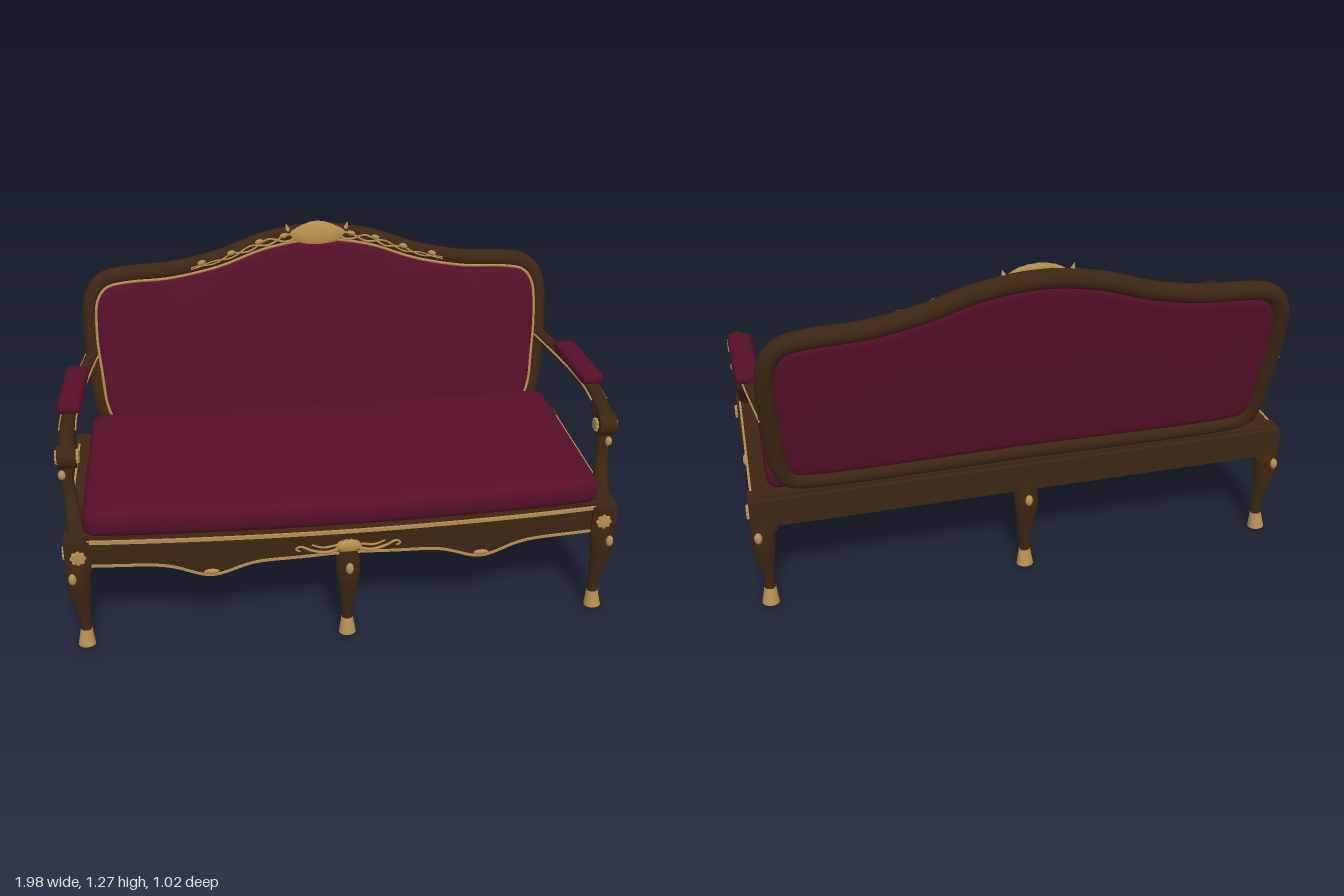
import * as THREE from 'three';
import { mergeVertices, toCreasedNormals } from 'three/addons/utils/BufferGeometryUtils.js';

const V = (x, y, z) => new THREE.Vector3(x, y, z);
const gauss = t => Math.exp(-t * t);

export function createModel() {
  const model = new THREE.Group();
  model.name = 'settee';
  const paint = (name, color) => {
    const m = new THREE.MeshStandardMaterial({ color });
    m.name = name;
    return m;
  };
  const wood = paint('dark wood', 0x3b2611);
  const fabric = paint('burgundy fabric', 0x560f28);
  const gold = paint('gilt', 0xb58d4e);

  const add = (name, geometry, material, x = 0, y = 0, z = 0) => {
    const mesh = new THREE.Mesh(geometry, material);
    mesh.name = name;
    mesh.position.set(x, y, z);
    model.add(mesh);
    return mesh;
  };

  // Move every vertex by a rule
  const bend = (g, rule) => {
    const p = g.attributes.position, v = V(0, 0, 0);
    for (let i = 0; i < p.count; i++) {
      rule(v.fromBufferAttribute(p, i), i);
      p.setXYZ(i, v.x, v.y, v.z);
    }
    g.computeVertexNormals();
    return g;
  };

  // Round sweep through [x, y, z, radius] points
  const sweep = (pts, seg = 28, sides = 14) => {
    const curve = new THREE.CatmullRomCurve3(pts.map(p => V(p[0], p[1], p[2])));
    const radii = new THREE.CatmullRomCurve3(pts.map(p => V(p[3], 0, 0)), false, 'catmullrom', 0.5);
    const g = new THREE.TubeGeometry(curve, seg, 1, sides);
    const normals = g.attributes.normal.clone();
    bend(g, (v, i) => {
      const u = Math.floor(i / (sides + 1)) / seg, t = curve.getUtoTmapping(u);
      const n = V(0, 0, 0).fromBufferAttribute(normals, i);
      v.copy(curve.getPoint(t)).addScaledVector(n, radii.getPoint(t).x);
    });
    g.setAttribute('normal', normals);
    return g;
  };

  // Box with rounded edges, a crowned top and a bowed front
  const softBox = (w, h, d, r, seg, crown = 0, bow = 0) => {
    let g = new THREE.BoxGeometry(w, h, d, ...seg);
    g.deleteAttribute('uv');
    g.deleteAttribute('normal');
    g = mergeVertices(g);
    const half = V(w / 2 - r, h / 2 - r, d / 2 - r), core = V(0, 0, 0);
    return bend(g, v => {
      core.copy(v).clamp(half.clone().negate(), half);
      v.sub(core).setLength(r).add(core);
      const a = 1 - (2 * v.x / w) ** 2, b = 1 - (2 * v.z / d) ** 2;
      if (v.y > 0) v.y += crown * a * b;
      if (v.z > 0) v.z += bow * a * (2 * v.z / d);
    });
  };

  // Rail with shaped lower and upper edges, bowed outward
  const rail = (length, depth, bottom, top, face) => bend(
    new THREE.BoxGeometry(length, 1, depth, 72, 1, 1), v => {
      v.y = v.y < 0 ? bottom(v.x) : top(v.x);
      v.z += face(v.x) - depth / 2;
    });

  // Carved ornaments
  const rosette = r => {
    const pts = Array.from({ length: 64 }, (_, i) => {
      const a = i / 64 * Math.PI * 2, q = r * (0.86 + 0.14 * Math.cos(8 * a));
      return new THREE.Vector2(q * Math.cos(a), q * Math.sin(a));
    });
    return new THREE.ExtrudeGeometry(new THREE.Shape(pts), { depth: 0.006, bevelSize: 0.004, bevelThickness: 0.004, bevelSegments: 2 });
  };
  const shell = (w, h, d, teeth, cut, topOnly = false) => bend(new THREE.SphereGeometry(1, 96, 12), v => {
    const k = topOnly && v.y < 0 ? 1 : 1 + cut * Math.cos(teeth * Math.atan2(v.y, v.x));
    v.set(v.x * w * k, v.y * h * k, v.z * d);
  });
  const leaf = (name, x, y, z, w = 0.014, h = 0.022, d = 0.012) =>
    add(name, new THREE.SphereGeometry(1, 10, 8).scale(w, h, d), gold, x, y, z);

  // Seat cushion, board and rails
  add('seatCushion', softBox(1.82, 0.108, 0.755, 0.042, [80, 10, 40], 0.018, 0.04), fabric, 0, 0.512, 0.057);
  add('seatBoard', new THREE.BoxGeometry(1.86, 0.025, 0.76), wood, 0, 0.447, 0.04);
  add('backRail', new THREE.BoxGeometry(1.8, 0.105, 0.045), wood, 0, 0.3975, -0.335);
  const frontBottom = x => 0.347 - 0.052 * gauss((Math.abs(x) - 0.48) / 0.11) + 0.01 * gauss(x / 0.15);
  const sideBottom = z => 0.345 - 0.032 * gauss(z / 0.15);
  const frontFace = x => 0.425 + 0.042 * (1 - (x / 0.92) ** 2);
  const rails = (name, length, bottom, face) => [
    add(name, rail(length, 0.05, bottom, () => 0.45, face), wood),
    add(name + 'TopTrim', rail(length, 0.008, () => 0.439, () => 0.452, x => face(x) + 0.005), gold),
    add(name + 'LowerTrim', rail(length, 0.008, x => bottom(x) - 0.002, x => bottom(x) + 0.008, x => face(x) + 0.004), gold),
  ];
  rails('frontRail', 1.8, frontBottom, frontFace);
  for (const s of [1, -1]) {
    for (const m of rails(s > 0 ? 'leftRail' : 'rightRail', 0.64, sideBottom, () => 0.965)) {
      m.rotation.y = s * Math.PI / 2;
      m.position.z = 0.04;
    }
  }

  // Front centre shell with scrolls
  add('frontShell', shell(0.045, 0.026, 0.016, 14, 0.08), gold, 0, 0.388, 0.472);
  for (const s of [1, -1]) {
    add('frontScroll', sweep([[0.03, 0.38, 0.473, 0.006], [0.08, 0.368, 0.472, 0.005], [0.13, 0.378, 0.47, 0.005],
      [0.17, 0.395, 0.468, 0.004], [0.185, 0.383, 0.467, 0.004], [0.17, 0.376, 0.468, 0.003]]
      .map(p => [p[0] * s, ...p.slice(1)]), 30, 6), gold);
    add('frontScrollUpper', sweep([[0.04, 0.395, 0.473, 0.004], [0.09, 0.388, 0.472, 0.004], [0.13, 0.4, 0.47, 0.003]]
      .map(p => [p[0] * s, ...p.slice(1)]), 16, 6), gold);
    leaf('frontDropLeaf', s * 0.48, 0.312, frontFace(0.48) + 0.002, 0.028, 0.01, 0.008);
  }

  // Cabriole legs with gilt hooves; (dx, dz) points outward
  const leg = (name, x, z, dx, dz, knee) => {
    const at = (y, o, r) => [x + dx * o, y, z + dz * o, r];
    add(name, sweep([at(0.39, 0, 0.04), at(0.33, 0.012, 0.043), at(0.28, knee, 0.043), at(0.21, knee * 0.75, 0.034),
      at(0.14, 0.008, 0.023), at(0.09, 0.004, 0.019), at(0.04, 0.008, 0.021)]), wood);
    const hoof = add(name + 'Hoof', new THREE.CylinderGeometry(0.021, 0.031, 0.062, 18), gold, x + dx * 0.009, 0.034, z + dz * 0.009);
    hoof.rotation.set(-dz * 0.12, 0, dx * 0.12);
    const k = 0.04 / Math.hypot(dx, dz);
    leaf(name + 'KneeLeaf', x + dx * (knee + k), 0.315, z + dz * (knee + k));
  };
  leg('frontCentreLeg', 0, 0.44, 0, 1, 0.026);
  leg('backCentreLeg', 0, -0.32, 0, -1, 0.022);

  // Corner posts, legs and arms
  for (const s of [1, -1]) {
    const side = s > 0 ? 'left' : 'right';
    const flip = pts => pts.map(p => [p[0] * s, p[1], p[2], p[3]]);
    for (const [end, z, dz] of [['Front', 0.393, 1], ['Back', -0.315, -1]]) {
      add(side + end + 'Block', new THREE.BoxGeometry(0.088, 0.122, 0.088), wood, s * 0.935, 0.39, z);
      leg(side + end + 'Leg', s * 0.935, z, s * 0.4, dz, 0.022);
      add(side + end + 'SideRosette', rosette(0.022), gold, s * 0.979, 0.39, z).rotation.y = s * Math.PI / 2;
    }
    add(side + 'FrontRosette', rosette(0.024), gold, s * 0.933, 0.392, 0.437);
    add(side + 'RailShell', shell(0.032, 0.018, 0.013, 12, 0.1), gold, s * 0.967, 0.38, 0.04).rotation.y = Math.PI / 2;

    const arm = [[0.885, 0.785, -0.41, 0.024], [0.915, 0.783, -0.2, 0.024], [0.938, 0.783, 0, 0.025], [0.945, 0.782, 0.14, 0.026],
      [0.945, 0.773, 0.23, 0.027], [0.945, 0.752, 0.3, 0.027], [0.945, 0.72, 0.32, 0.02]];
    add(side + 'Arm', sweep(flip(arm), 40), wood);
    for (const o of [1, -1]) {
      add(side + 'ArmTrim', sweep(flip(arm.slice(0, 5).map(p => [p[0] + o * p[3], p[1] + 0.003, p[2], 0.0045])), 30, 6), gold);
    }
    add(side + 'ArmScroll', new THREE.CylinderGeometry(0.041, 0.041, 0.062, 24).rotateZ(Math.PI / 2), wood, s * 0.945, 0.724, 0.312);
    for (const o of [1, -1]) {
      add(side + 'ScrollRosette', rosette(0.022), gold, s * 0.945 + o * 0.031, 0.722, 0.31).rotation.y = o * Math.PI / 2;
    }
    add(side + 'ArmSupport', sweep(flip([[0.945, 0.755, 0.215, 0.027], [0.952, 0.7, 0.255, 0.026], [0.957, 0.62, 0.278, 0.023],
      [0.952, 0.56, 0.295, 0.025], [0.942, 0.5, 0.345, 0.028], [0.935, 0.435, 0.39, 0.032]])), wood);
    leaf(side + 'SupportLeaf', s * 0.972, 0.64, 0.292, 0.014, 0.018, 0.014);
    add(side + 'ArmPad', softBox(0.084, 0.04, 0.33, 0.017, [12, 6, 36], 0.005), fabric, s * 0.935, 0.822, -0.005).rotation.y = s * 0.04;
  }

  // Raked backrest: closed outline, leaning rule and inward offset
  const half = [[0.76, 0.5], [0.83, 0.515], [0.862, 0.58], [0.876, 0.72], [0.884, 0.88], [0.87, 1.01], [0.825, 1.067],
    [0.74, 1.086], [0.575, 1.095], [0.39, 1.13], [0.2, 1.192]];
  const ring = new THREE.CatmullRomCurve3([[0, 0.5], ...half, [0, 1.218], ...half.slice().reverse().map(([x, y]) => [-x, y])]
    .map(([x, y]) => V(x, y, 0)), true);
  const lean = y => -0.322 - 0.2 * (y - 0.47);
  const outline = (inset, n) => Array.from({ length: n }, (_, i) => {
    const p = ring.getPointAt(i / n), t = ring.getTangentAt(i / n);
    return V(p.x - t.y * inset, p.y + t.x * inset, 0);
  });
  const ringTube = (inset, forward, r, sides) => new THREE.TubeGeometry(new THREE.CatmullRomCurve3(
    outline(inset, 120).map(p => V(p.x, p.y, lean(p.y) + forward)), true), 240, r, sides, true);
  add('backFrame', ringTube(0, 0, 0.033, 16), wood);
  add('backBeading', ringTube(0.021, 0.029, 0.006, 6), gold);

  // Back upholstery
  let pad = new THREE.ExtrudeGeometry(new THREE.Shape(outline(0.02, 140).map(p => new THREE.Vector2(p.x, p.y))),
    { depth: 0.02, bevelThickness: 0.022, bevelSize: 0.035, bevelOffset: -0.035, bevelSegments: 6 });
  bend(pad, v => { v.z += lean(v.y); });
  pad.deleteAttribute('uv');
  pad.deleteAttribute('normal');
  add('backUpholstery', toCreasedNormals(mergeVertices(pad), 0.7), fabric);

  // Crest shell and leafy sprays
  add('crestShell', shell(0.102, 0.046, 0.016, 20, 0.07, true), gold, 0, 1.219, lean(1.219) + 0.03).rotation.x = -0.2;
  const crest = new THREE.CatmullRomCurve3([[0.08, 1.212], [0.2, 1.192], [0.3, 1.16], [0.39, 1.13], [0.49, 1.107]].map(([x, y]) => V(x, y, 0)));
  for (const s of [1, -1]) {
    for (const phase of [0, Math.PI]) {
      const vine = Array.from({ length: 17 }, (_, i) => {
        const p = crest.getPointAt(i / 16), y = p.y + 0.014 * Math.sin(i * 1.1 + phase) * (1 - i / 20);
        return [s * p.x, y, lean(y) + 0.031, 0.005 - i * 0.00012];
      });
      add('crestVine', sweep(vine, 48, 6), gold);
    }
    for (const u of [0.12, 0.35, 0.62, 0.9]) {
      const p = crest.getPointAt(u);
      leaf('crestLeaf', s * p.x, p.y + 0.012, lean(p.y) + 0.031, 0.017, 0.01, 0.008).rotation.z = -s * 0.3;
    }
    const bud = add('crestBud', new THREE.ConeGeometry(0.014, 0.035, 8), gold, s * 0.115, 1.242, lean(1.242) + 0.02);
    bud.rotation.z = -s * 0.25;
  }
  return model;
}
